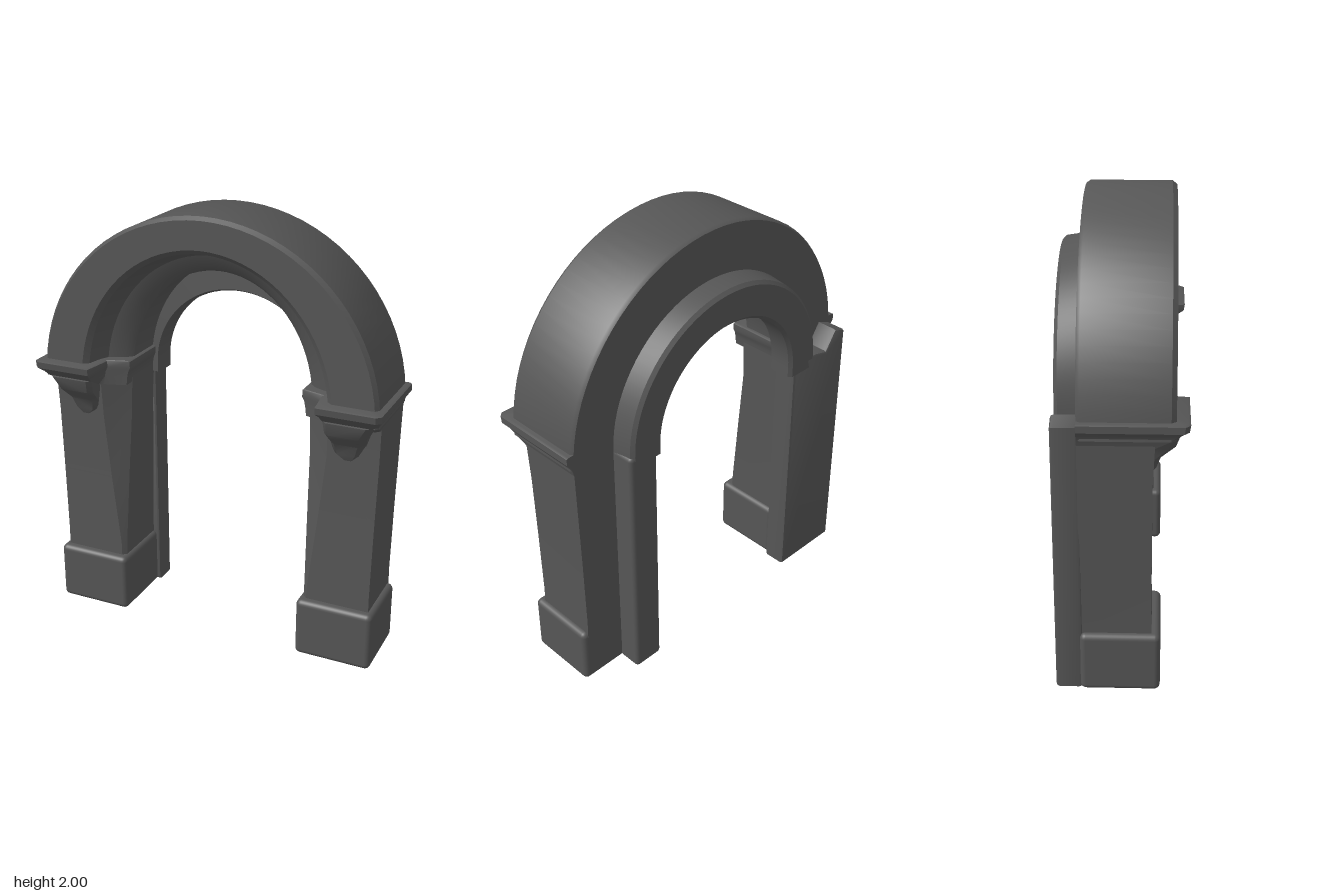
import * as THREE from 'three';
import { toCreasedNormals } from 'three/addons/utils/BufferGeometryUtils.js';
import { RoundedBoxGeometry } from 'three/addons/geometries/RoundedBoxGeometry.js';

const SPRING = 1.2; // height where the arches begin

// Skin a list of closed rings of Vector3 and cap both ends, facing outwards.
function loft(rings, crease = 0.6) {
  const tris = [];
  const n = rings[0].length;
  for (let i = 0; i < rings.length - 1; i++) {
    for (let j = 0; j < n; j++) {
      const k = (j + 1) % n;
      const [a, b, c, d] = [rings[i][j], rings[i][k], rings[i + 1][k], rings[i + 1][j]];
      tris.push([a, b, c], [a, c, d]);
    }
  }
  const cap = (ring, flip) => {
    const mid = ring.reduce((m, p) => m.add(p), new THREE.Vector3()).divideScalar(n);
    ring.forEach((p, j) => {
      const q = ring[(j + 1) % n];
      tris.push(flip ? [mid, q, p] : [mid, p, q]);
    });
  };
  cap(rings[0], true);
  cap(rings[rings.length - 1], false);
  const cross = new THREE.Vector3();
  const volume = tris.reduce((v, [a, b, c]) => v + a.dot(cross.crossVectors(b, c)), 0);
  const points = tris.flatMap(([a, b, c]) => (volume < 0 ? [a, c, b] : [a, b, c]));
  return toCreasedNormals(new THREE.BufferGeometry().setFromPoints(points), crease);
}

// Stack plan outlines of [x, z] at given heights, mirrored by side.
function stack(side, levels) {
  return loft(levels.map(([y, plan]) => plan.map(([x, z]) => new THREE.Vector3(side * x, y, z))));
}

// Sweep a profile of [radiusX, radiusY, z] over a half turn, with short straight feet.
function arch(profile, drop) {
  const steps = 40;
  const ring = (t, down) => profile.map(([rx, ry, z]) =>
    new THREE.Vector3(rx * Math.cos(t), SPRING + ry * Math.sin(t) - down, z));
  const rings = [ring(0, drop)];
  for (let i = 0; i <= steps; i++) rings.push(ring((Math.PI * i) / steps, 0));
  rings.push(ring(Math.PI, drop));
  return loft(rings);
}

function box(x0, x1, y0, y1, z0, z1, radius) {
  return new RoundedBoxGeometry(x1 - x0, y1 - y0, z1 - z0, 3, radius)
    .translate((x0 + x1) / 2, (y0 + y1) / 2, (z0 + z1) / 2);
}

export function createModel() {
  const stone = new THREE.MeshStandardMaterial({ color: 0x565656 });
  stone.name = 'dark stone';
  const group = new THREE.Group();
  group.name = 'archway';
  const add = (name, geometry, parent = group) => {
    const mesh = new THREE.Mesh(geometry, stone);
    mesh.name = name;
    parent.add(mesh);
  };

  // Front arch: broad outer band with a stepped, hollowed inner moulding
  add('frontArch', arch([
    [0.79, 0.79, -0.17], [0.8, 0.8, -0.155], [0.8, 0.8, 0.2], [0.785, 0.785, 0.22],
    [0.6, 0.66, 0.22], [0.575, 0.64, 0.2], [0.56, 0.63, 0.13], [0.54, 0.61, 0.09],
    [0.47, 0.55, 0.06], [0.44, 0.53, 0.03], [0.44, 0.53, -0.17],
  ], 0));

  // Narrower arch behind it
  add('backArch', arch([
    [0.58, 0.575, -0.16], [0.57, 0.56, -0.26], [0.555, 0.545, -0.275],
    [0.415, 0.405, -0.275], [0.4, 0.39, -0.26], [0.4, 0.39, -0.17], [0.41, 0.4, -0.15],
  ], 0.05));

  for (const side of [1, -1]) {
    const pillar = new THREE.Group();
    pillar.name = side > 0 ? 'leftPillar' : 'rightPillar';
    group.add(pillar);

    const base = box(0.44, 0.8, 0.005, 0.285, -0.17, 0.17, 0.025);
    add('base', side > 0 ? base : base.translate(-1.24, 0, 0), pillar);

    // Shaft whose inner front corner opens into a chamfer near the top
    const shaft = (outer, front, fx, inner, iz) =>
      [[outer, -0.17], [outer, front], [fx, front], [inner, iz], [inner, -0.17]];
    add('shaft', stack(side, [
      [0.2, shaft(0.775, 0.135, 0.475, 0.46, 0.12)],
      [0.35, shaft(0.772, 0.13, 0.48, 0.46, 0.11)],
      [0.7, shaft(0.778, 0.13, 0.52, 0.452, 0.08)],
      [1.0, shaft(0.785, 0.13, 0.55, 0.445, 0.05)],
      [1.22, shaft(0.79, 0.14, 0.555, 0.435, 0.05)],
    ]), pillar);

    // Flaring capital, stepped back on the inner side
    const plan = (o, f, m, i) =>
      [[o, -0.17], [o, f - 0.02], [o - 0.02, f], [m, f], [m - 0.02, 0.13], [i, 0.1], [i, -0.17]];
    add('capital', stack(side, [
      [1.16, plan(0.785, 0.15, 0.56, 0.44)],
      [1.2, plan(0.795, 0.22, 0.555, 0.435)],
      [1.225, plan(0.805, 0.245, 0.55, 0.43)],
      [1.245, plan(0.822, 0.27, 0.54, 0.42)],
      [1.275, plan(0.822, 0.275, 0.54, 0.42)],
      [1.28, plan(0.812, 0.265, 0.55, 0.43)],
    ]), pillar);

    // Curved bracket under the capital
    const bracket = (x0, x1, z) =>
      [[x0, 0.05], [x0, z - 0.02], [x0 + 0.02, z], [x1 - 0.03, z], [x1, z - 0.03], [x1, 0.05]];
    add('bracket', stack(side, [
      [1.0, bracket(0.61, 0.69, 0.13)],
      [1.03, bracket(0.58, 0.71, 0.145)],
      [1.08, bracket(0.57, 0.725, 0.16)],
      [1.11, bracket(0.565, 0.735, 0.19)],
      [1.14, bracket(0.56, 0.745, 0.22)],
      [1.2, bracket(0.555, 0.78, 0.235)],
    ]), pillar);
  }

  // Rear strip on the left leg, wide rear slab on the right leg
  add('leftRearStrip', box(0.43, 0.58, 0.005, 1.2, -0.275, -0.15, 0.02));
  const outline = new THREE.Shape([
    [-0.44, 0.02], [-0.44, 1.19], [-0.58, 1.19], [-0.66, 1.17], [-0.72, 1.26], [-0.77, 1.24], [-0.77, 0.02],
  ].map(([x, y]) => new THREE.Vector2(x, y)));
  const slab = new THREE.ExtrudeGeometry(outline, {
    depth: 0.085, bevelEnabled: true, bevelThickness: 0.015, bevelSize: 0.012, bevelSegments: 2,
  }).translate(0, 0, -0.26);
  add('rightRearSlab', toCreasedNormals(slab, 0.6));

  return group;
}
